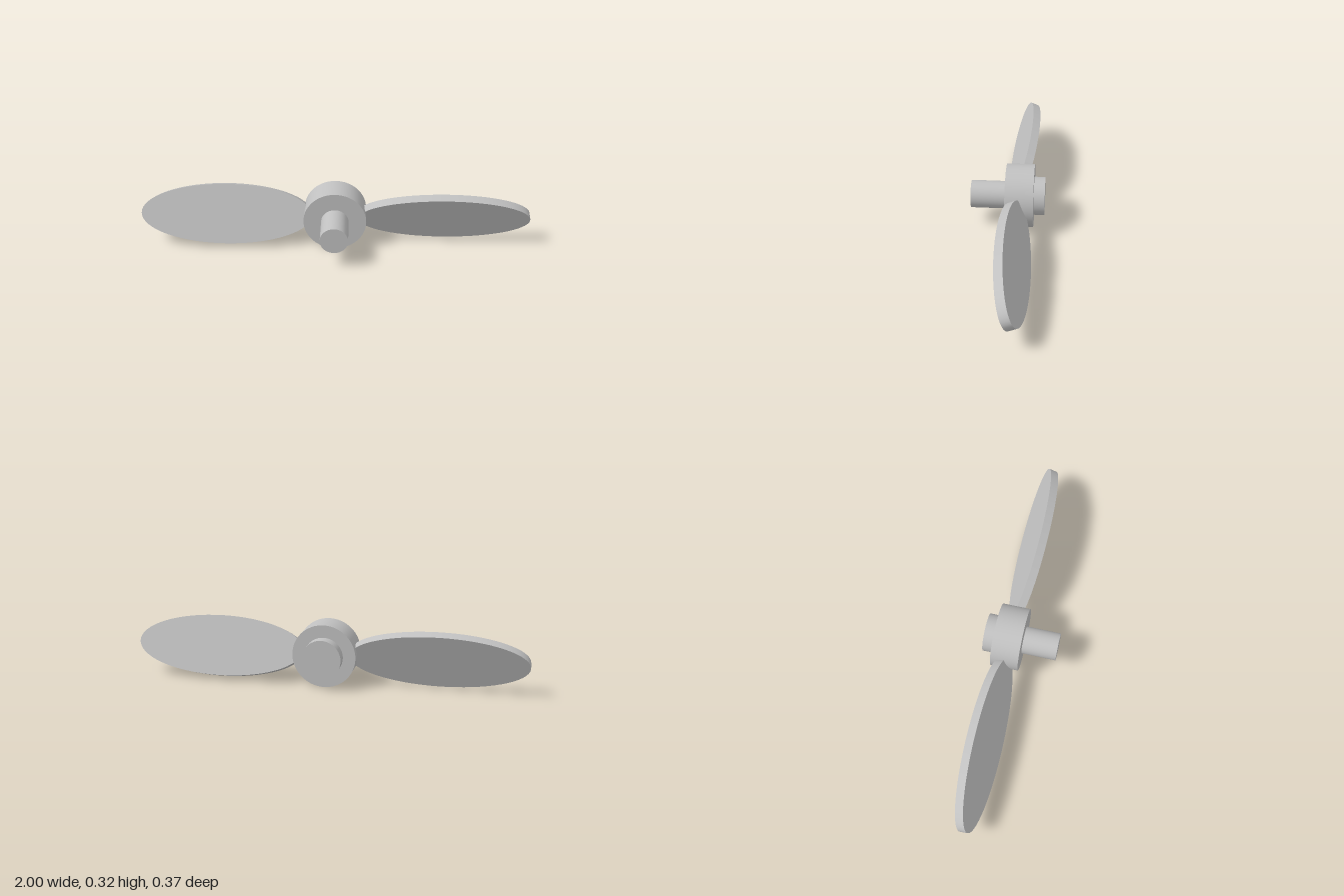
import * as THREE from 'three';

const AXIS_Y = 0.16;   // height of the rotation axis
const HUB_Z = -0.061;  // middle of the hub
const PITCH = Math.PI / 8;

export function createModel() {
  const model = new THREE.Group();
  model.name = 'propeller';
  const grey = new THREE.MeshStandardMaterial({ color: 0xc0c0c0 });
  grey.name = 'light grey';

  // Round part lying along z, from zBack to zFront
  const round = (name, radius, zBack, zFront) => {
    const geometry = new THREE.CylinderGeometry(radius, radius, zFront - zBack, 64);
    geometry.rotateX(Math.PI / 2);
    const mesh = new THREE.Mesh(geometry, grey);
    mesh.name = name;
    mesh.position.set(0, AXIS_Y, (zBack + zFront) / 2);
    model.add(mesh);
  };
  round('hub', 0.16, -0.132, 0.01);
  round('frontShaft', 0.07, 0.01, 0.187);
  round('rearCollar', 0.097, -0.187, -0.132);

  // Flat elliptical blades, pitched in opposite directions
  for (const side of [1, -1]) {
    const geometry = new THREE.CylinderGeometry(1, 1, 0.043, 64);
    geometry.rotateX(Math.PI / 2);
    geometry.scale(0.44, 0.155, 1);
    const blade = new THREE.Mesh(geometry, grey);
    blade.name = side > 0 ? 'leftBlade' : 'rightBlade';
    blade.position.set(side * 0.56, AXIS_Y, HUB_Z);
    blade.rotation.x = side * PITCH;
    model.add(blade);
  }
  return model;
}
